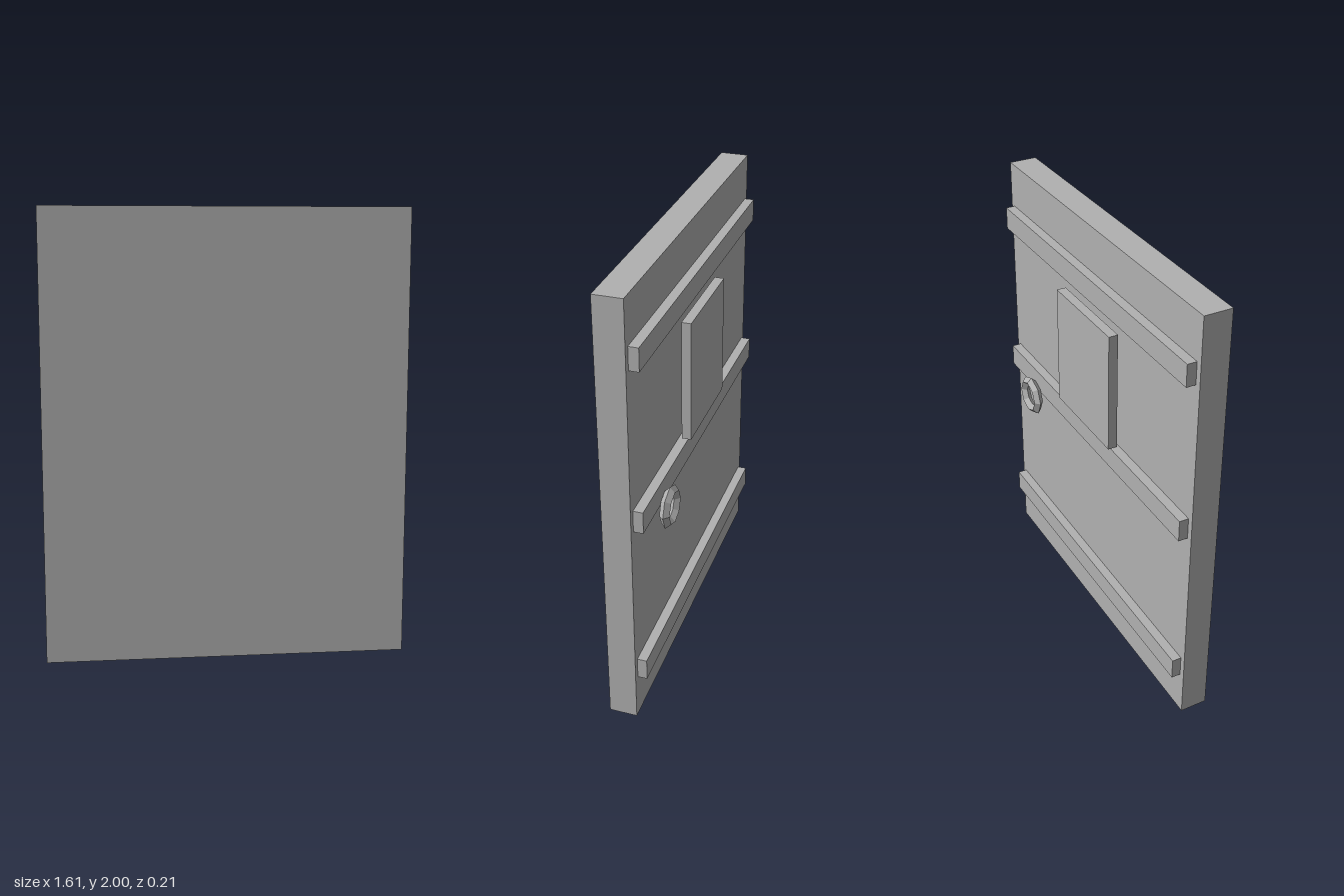
import * as THREE from 'three';

export function createModel() {
  const door = new THREE.Group();
  door.name = 'door';
  const grey = new THREE.MeshStandardMaterial({ color: 0xb0b0b0, flatShading: true });
  grey.name = 'grey';

  const add = (name, geometry, x, y, z) => {
    const mesh = new THREE.Mesh(geometry, grey);
    mesh.name = name;
    mesh.position.set(x, y, z);
    door.add(mesh);
  };

  // Main slab
  add('slab', new THREE.BoxGeometry(1.614, 2, 0.124), 0, 1, 0.044);

  // Three horizontal battens across the back
  [['lowerBatten', 0.255], ['middleBatten', 1.025], ['upperBatten', 1.75]].forEach(([name, y]) =>
    add(name, new THREE.BoxGeometry(1.56, 0.1, 0.042), 0, y, -0.039));

  // Raised panel standing just off the slab
  add('panel', new THREE.BoxGeometry(0.464, 0.55, 0.042), 0, 1.365, -0.06);

  // Eight-sided pull ring with a diamond section
  add('pullRing', new THREE.TorusGeometry(0.073, 0.022, 4, 8), 0.524, 0.94, -0.084);

  return door;
}
